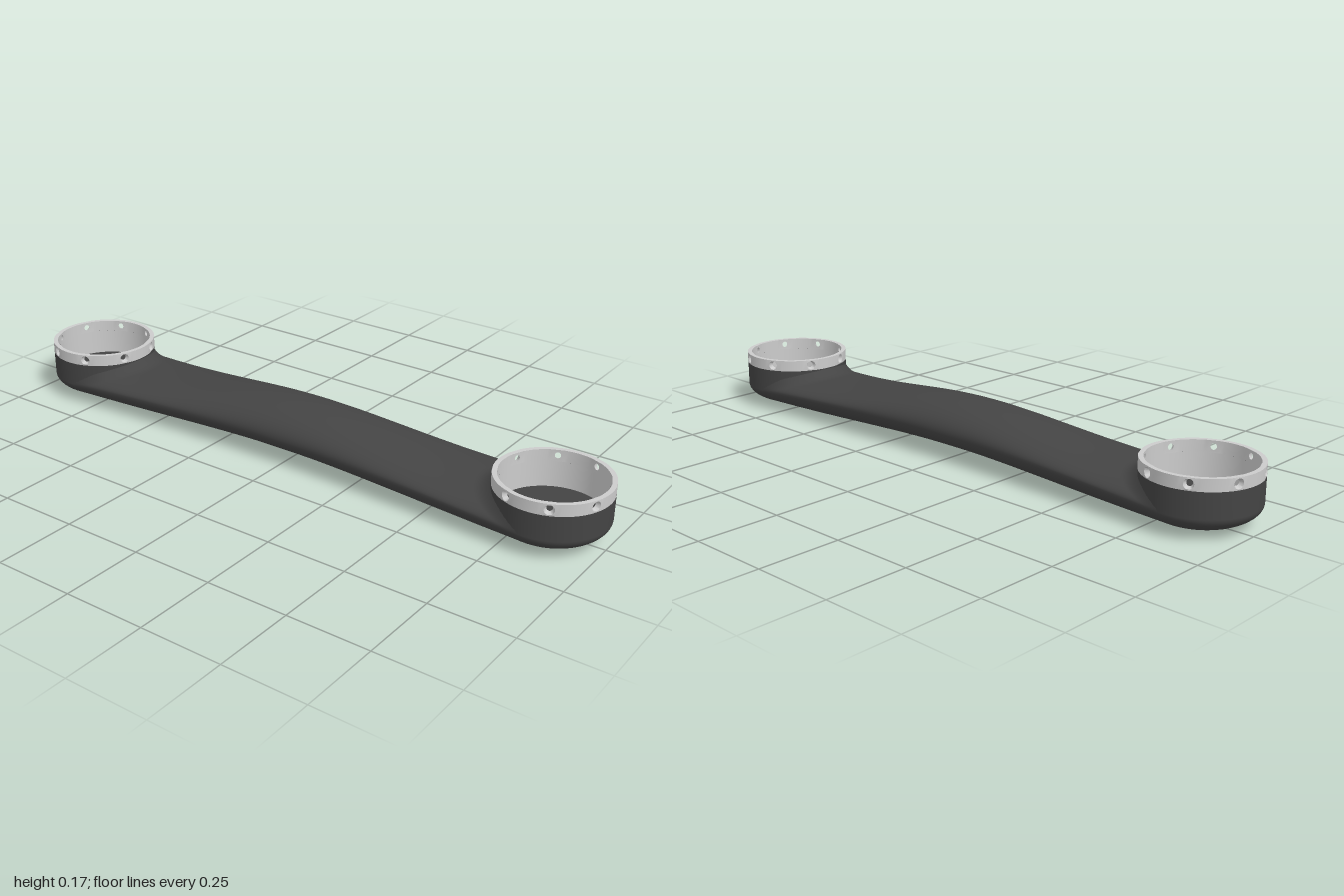
import * as THREE from 'three';
import { mergeGeometries, toCreasedNormals } from 'three/addons/utils/BufferGeometryUtils.js';

const R = 0.1667;         // outer radius of pods and rings
const CX = 1 - R;         // pod centre
const WALL = 0.014;
const POD_TOP = 0.14, RING_H = 0.035, FLOOR = 0.06, BELLY = 0.065;

const clamp01 = (v) => Math.min(1, Math.max(0, v));
const hump = (x, reach) => (1 + Math.cos(Math.PI * clamp01(Math.abs(x) / reach))) / 2;

// Arched link: elliptical sections swept along x, the upper half trimmed to the pod cylinders
function armGeometry() {
  const nx = 120, nt = 64, pos = [], idx = [];
  for (let i = 0; i <= nx; i++) {
    const s = Math.sin((i / nx - 0.5) * Math.PI);
    for (let j = 0; j < nt; j++) {
      const t = (j / nt) * Math.PI * 2, up = Math.max(0, Math.sin(t));
      const end = CX - (R - 0.007) * up;
      const x = s * end;
      const k = Math.pow(clamp01((Math.abs(x) - 0.1) / (CX - 0.1)), 1.3);
      const half = 0.137 + (R - 0.137) * k;
      const mid = 0.092 + (BELLY - 0.092) * k;
      const top = 0.115 + 0.05 * hump(x, 0.66);
      const bottom = 0.02 * hump(x, 0.75);
      // small fillet where the arm climbs the pod wall
      const fillet = 0.028 * clamp01(1 - (end - Math.abs(x)) / 0.06) ** 2 * Math.min(1, 2 * up);
      const y = mid + Math.sin(t) * (up > 0 ? top - mid : mid - bottom) + fillet;
      pos.push(x, y, half * Math.cos(t));
    }
  }
  for (let i = 0; i < nx; i++) {
    for (let j = 0; j < nt; j++) {
      const a = i * nt + j, b = i * nt + ((j + 1) % nt);
      idx.push(a, a + nt, b, b, a + nt, b + nt);
    }
  }
  const g = new THREE.BufferGeometry();
  g.setAttribute('position', new THREE.Float32BufferAttribute(pos, 3));
  g.setIndex(idx);
  g.computeVertexNormals();
  return g;
}

// Round cup: elliptical belly and straight wall
function podGeometry() {
  const pts = [];
  for (let i = 0; i <= 16; i++) {
    const a = (i / 16) * Math.PI / 2;
    pts.push(new THREE.Vector2(R * Math.sin(a), BELLY * (1 - Math.cos(a))));
  }
  pts.push(new THREE.Vector2(R, POD_TOP));
  return new THREE.LatheGeometry(pts, 64);
}

// Flange ring: flat tiles with countersunk holes and plain pieces, bent round the axis
function ringGeometry() {
  const holes = 8, halfTile = 0.02, holeR = 0.0145;
  const pitch = (Math.PI * 2 * R) / holes, plain = pitch - 2 * halfTile;

  const shape = new THREE.Shape();
  shape.moveTo(-halfTile, -RING_H / 2);
  shape.lineTo(halfTile, -RING_H / 2);
  shape.lineTo(halfTile, RING_H / 2);
  shape.lineTo(-halfTile, RING_H / 2);
  shape.closePath();
  const hole = new THREE.Path();
  hole.absarc(0, 0, holeR, 0, Math.PI * 2, true);
  shape.holes.push(hole);
  const tile = new THREE.ExtrudeGeometry(shape, { depth: WALL, bevelEnabled: false, curveSegments: 20 });
  const tp = tile.attributes.position;
  for (let i = 0; i < tp.count; i++) {
    const inHole = Math.hypot(tp.getX(i), tp.getY(i)) < holeR + 0.001;
    if (inHole && tp.getZ(i) < WALL / 2) tp.setXY(i, tp.getX(i) * 0.65, tp.getY(i) * 0.65);
  }
  const box = new THREE.BoxGeometry(plain, RING_H, WALL, 8, 1, 1).toNonIndexed();
  box.translate(pitch / 2, 0, WALL / 2);

  const parts = [];
  for (let h = 0; h < holes; h++) {
    for (const g of [tile, box]) parts.push(g.clone().translate((h + 0.5) * pitch, 0, 0));
  }
  const ring = mergeGeometries(parts);
  const p = ring.attributes.position;
  for (let i = 0; i < p.count; i++) {
    const a = p.getX(i) / R, r = R - WALL + p.getZ(i);
    p.setXYZ(i, r * Math.sin(a), p.getY(i), r * Math.cos(a));
  }
  return toCreasedNormals(ring, 0.5);
}

export function createModel() {
  const model = new THREE.Group();
  model.name = 'armLink';
  const dark = new THREE.MeshStandardMaterial({ color: 0x444444 });
  const darkThin = new THREE.MeshStandardMaterial({ color: 0x444444, side: THREE.DoubleSide });
  const grey = new THREE.MeshStandardMaterial({ color: 0xcccccc });
  const greyThin = new THREE.MeshStandardMaterial({ color: 0xcccccc, side: THREE.DoubleSide });

  const add = (parent, name, geometry, material, y = 0) => {
    const mesh = new THREE.Mesh(geometry, material);
    mesh.name = name;
    mesh.position.y = y;
    parent.add(mesh);
  };

  add(model, 'arm', armGeometry(), dark);

  const pod = podGeometry(), ring = ringGeometry();
  const sleeve = new THREE.CylinderGeometry(R - WALL, R - WALL, POD_TOP - FLOOR, 64, 1, true);
  const floor = new THREE.CircleGeometry(R - WALL, 64).rotateX(-Math.PI / 2);
  for (const side of [1, -1]) {
    const joint = new THREE.Group();
    joint.name = side > 0 ? 'leftJoint' : 'rightJoint';
    joint.position.x = side * CX;
    add(joint, 'pod', pod, darkThin);
    add(joint, 'flangeRing', ring, grey, POD_TOP + RING_H / 2);
    add(joint, 'innerSleeve', sleeve, greyThin, (POD_TOP + FLOOR) / 2);
    add(joint, 'socketFloor', floor, dark, FLOOR);
    model.add(joint);
  }
  return model;
}
